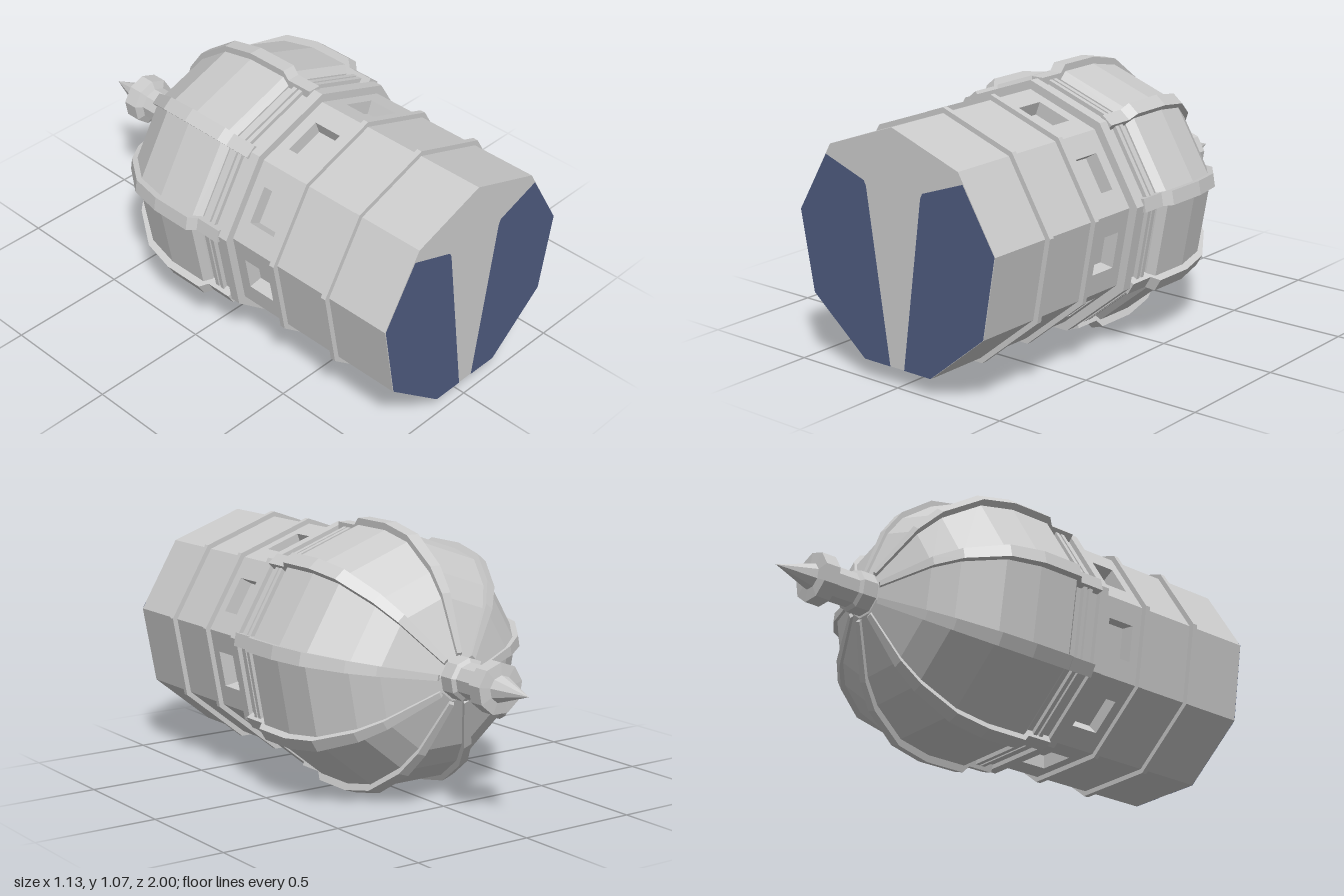
import * as THREE from 'three';

const SIDES = 9;
const STEP = (Math.PI * 2) / SIDES;
const R = 0.493;        // shaft corner radius
const AXIS_Y = 0.53;    // height of the lying tower's axis
const SQUASH = 0.967;   // the nine-sided plan is slightly flattened

// Hard facets without shared normals
function facet(geo) {
  const g = geo.index ? geo.toNonIndexed() : geo;
  g.deleteAttribute('normal');
  g.computeVertexNormals();
  return g;
}

// Nine-sided solid along z from [radius, z] points, listed front to back
function prism(points, sides = SIDES) {
  const pts = points.map(([r, z]) => new THREE.Vector2(r, -z));
  return facet(new THREE.LatheGeometry(pts, sides).rotateX(-Math.PI / 2));
}

// One wall panel with a window opening
function windowPanel(zFront, zBack, depth) {
  const half = R * Math.sin(STEP / 2);
  const rect = (s, w, a, b) => s.moveTo(-w, a).lineTo(w, a).lineTo(w, b).lineTo(-w, b).closePath();
  const shape = rect(new THREE.Shape(), half, -zFront, -zBack);
  shape.holes.push(rect(new THREE.Path(), 0.077, -0.39, -0.265));
  const g = new THREE.ExtrudeGeometry(shape, { depth, bevelEnabled: false });
  g.translate(0, 0, R * Math.cos(STEP / 2) - depth);
  return facet(g.rotateX(-Math.PI / 2));
}

// Rib following the dome, narrowing towards the crown
function ribGeometry() {
  const outer = [
    [0.535, 0.175], [0.535, 0.062], [0.567, 0.035], [0.567, -0.145],
    [0.535, -0.29], [0.429, -0.435], [0.33, -0.505], [0.105, -0.592],
  ];
  const inner = [
    [0.06, -0.57], [0.29, -0.48], [0.385, -0.41], [0.48, -0.27], [0.51, -0.14], [0.48, 0.175],
  ];
  const shape = new THREE.Shape([...outer, ...inner].map(([r, z]) => new THREE.Vector2(r, -z)));
  const g = new THREE.ExtrudeGeometry(shape, { depth: 2, bevelEnabled: false }).translate(0, 0, -1);
  const p = g.attributes.position;
  for (let i = 0; i < p.count; i++) p.setZ(i, p.getZ(i) * (0.008 + 0.037 * p.getX(i)));
  return facet(g.rotateX(-Math.PI / 2).rotateZ(Math.PI / 2));
}

export function createModel() {
  const stone = new THREE.MeshStandardMaterial({ color: 0xcccccc });
  stone.name = 'paleStone';
  const blue = new THREE.MeshStandardMaterial({ color: 0x4e5b80, side: THREE.DoubleSide });
  blue.name = 'slateBlue';

  const model = new THREE.Group();
  model.name = 'domedTower';
  const tower = new THREE.Group();
  tower.name = 'tower';
  tower.position.y = AXIS_Y;
  tower.scale.y = SQUASH;
  model.add(tower);

  const add = (name, geo, turn = 0) => {
    const mesh = new THREE.Mesh(geo, stone);
    mesh.name = name;
    mesh.rotation.z = turn;
    tower.add(mesh);
    return mesh;
  };

  // Lower shaft with its closed base
  add('shaft', prism([[0, 0.998], [R, 0.998], [R, 0.44]]));

  // Thin string courses
  for (const z of [0.711, 0.444]) {
    add('stringCourse', prism([[0.47, z + 0.011], [0.515, z + 0.011], [0.515, z - 0.011], [0.47, z - 0.011]]));
  }

  // Window storey: nine pierced panels over a recessed core
  const depth = 0.06;
  const core = (R * Math.cos(STEP / 2) - depth) / Math.cos(STEP / 2) + 0.002;
  add('windowCore', prism([[core, 0.44], [core, 0.2]]));
  const panel = windowPanel(0.44, 0.2, depth);
  for (let i = 0; i < SIDES; i++) add('windowPanel', panel, (i + 0.5) * STEP);

  // Collar and drum below the dome
  add('collar', prism([[0.45, 0.217], [0.53, 0.217], [0.53, 0.175], [0.45, 0.175]]));
  add('drum', prism([[0.51, 0.18], [0.51, 0.05]]));
  for (const z of [0.127, 0.1]) {
    add('drumMoulding', prism([[0.5, z + 0.009], [0.529, z + 0.009], [0.529, z - 0.009], [0.5, z - 0.009]]));
  }

  // Dome shell
  add('dome', prism([
    [0.5, 0.062], [0.518, 0.062], [0.548, 0.035], [0.548, -0.145], [0.517, -0.29],
    [0.412, -0.43], [0.315, -0.5], [0.09, -0.588], [0, -0.588],
  ]));

  // Ribs on every corner
  const rib = ribGeometry();
  for (let i = 0; i < SIDES; i++) add('rib', rib, i * STEP);

  // Finial: foot, neck, flared head and spike
  const finial = add('finial', prism([
    [0.088, -0.57], [0.088, -0.65], [0.072, -0.66], [0.072, -0.76], [0.104, -0.775],
    [0.104, -0.838], [0.055, -0.843], [0, -1],
  ]));
  finial.position.y = 0.008;

  // Painted panels on the base
  const outline = [
    [0.339, 0.853], [0.145, 0.785], [0.135, 0.765], [0.035, 0.082],
    [0.167, 0.082], [0.426, 0.292], [0.484, 0.614],
  ];
  for (const side of [1, -1]) {
    const shape = new THREE.Shape(outline.map(([x, y]) => new THREE.Vector2(x * side, y)));
    const plate = new THREE.Mesh(new THREE.ShapeGeometry(shape), blue);
    plate.name = side > 0 ? 'leftBasePanel' : 'rightBasePanel';
    plate.position.z = 1;
    model.add(plate);
  }

  return model;
}
